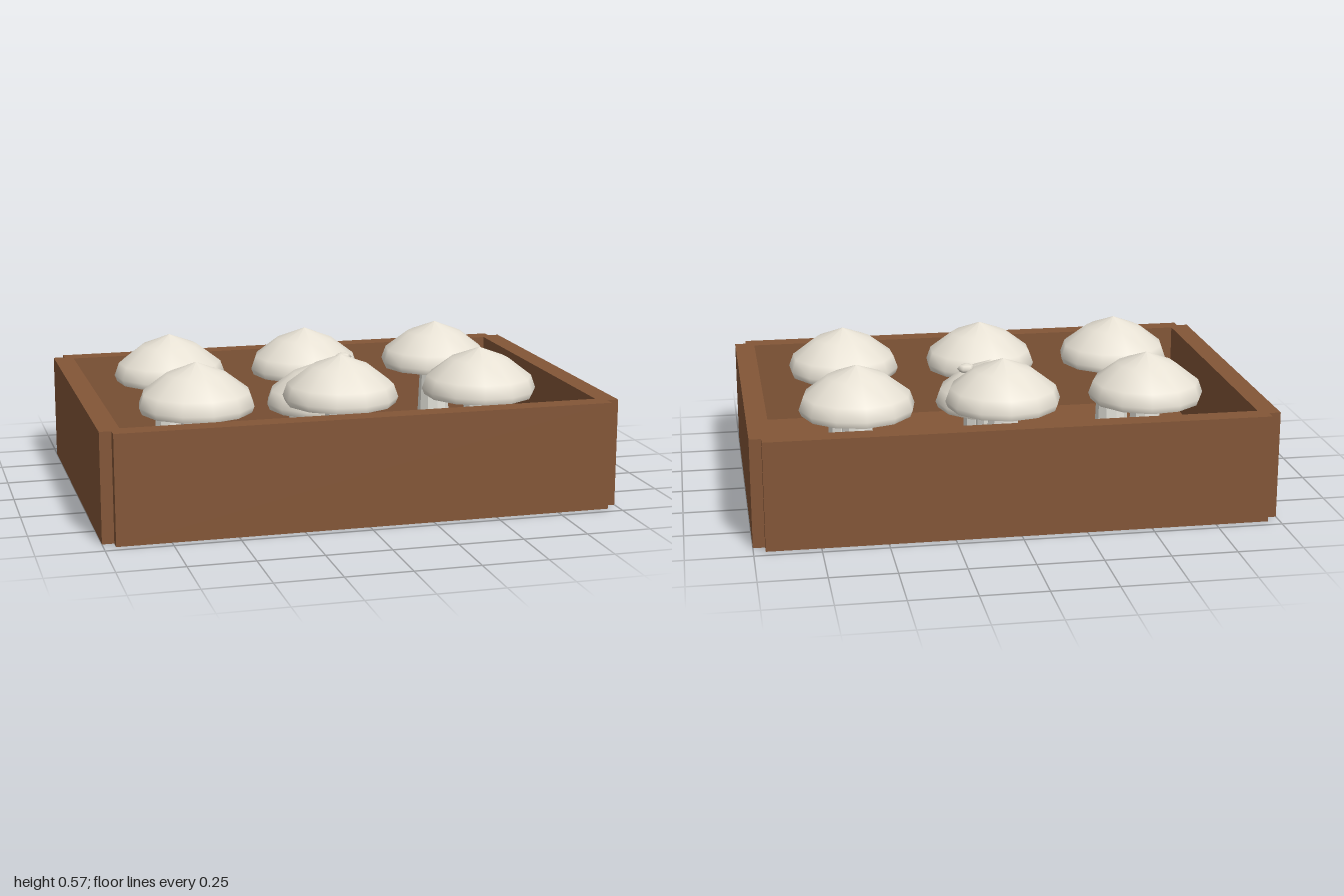
import * as THREE from 'three';

const wood = new THREE.MeshStandardMaterial({ color: 0x835637 });
wood.name = 'brown wood';
const cream = new THREE.MeshStandardMaterial({ color: 0xe8e2d5 });
cream.name = 'cream cap';
const pale = new THREE.MeshStandardMaterial({ color: 0xe4e2da, flatShading: true });
pale.name = 'pale stem';

function add(parent, name, geometry, material, x = 0, y = 0, z = 0) {
  const mesh = new THREE.Mesh(geometry, material);
  mesh.name = name;
  mesh.position.set(x, y, z);
  parent.add(mesh);
  return mesh;
}

const lathe = (points, sides) =>
  new THREE.LatheGeometry(points.map(([r, y]) => new THREE.Vector2(r, y)), sides);

// Domed cap, closed underneath, on a slightly tapered stem
function mushroom(name, x, y, z, turn) {
  const group = new THREE.Group();
  group.name = name;
  group.position.set(x, y, z);
  group.rotation.y = turn;
  const dome = [[0.216, 0.3], [0.226, 0.325], [0.208, 0.375], [0.115, 0.446], [0, 0.49]];
  add(group, 'cap', lathe(dome, 12), cream);
  add(group, 'capUnderside', lathe([[0, 0.315], [0.216, 0.3]], 12), cream);
  add(group, 'stem', new THREE.CylinderGeometry(0.057, 0.07, 0.33, 10), pale, 0, 0.165, 0);
  return group;
}

export function createModel() {
  const model = new THREE.Group();
  model.name = 'mushroomCrate';

  // Crate walls, notched at the corners, and floor
  const crate = new THREE.Group();
  crate.name = 'crate';
  model.add(crate);
  add(crate, 'floor', new THREE.BoxGeometry(1.91, 0.082, 1.34), wood, 0, 0.043, 0);
  for (const s of [1, -1]) {
    add(crate, s > 0 ? 'frontWall' : 'backWall',
      new THREE.BoxGeometry(1.91, 0.42, 0.08), wood, 0, 0.21, s * 0.674);
    add(crate, s > 0 ? 'leftWall' : 'rightWall',
      new THREE.BoxGeometry(0.08, 0.42, 1.34), wood, s * 0.96, 0.21, 0);
  }

  // Two rows of three mushrooms and a lower one in the middle
  let n = 0;
  for (const z of [0.285, -0.285])
    for (const x of [-0.57, 0, 0.57])
      model.add(mushroom('mushroom' + ++n, x, 0.084, z, n * 0.1));
  model.add(mushroom('middleMushroom', 0, 0, 0, 0));

  // Small flattened bead beside the middle cap
  const bead = add(model, 'bead', new THREE.SphereGeometry(0.037, 6, 4), cream, 0.113, 0.482, -0.086);
  bead.scale.y = 0.5;

  return model;
}
